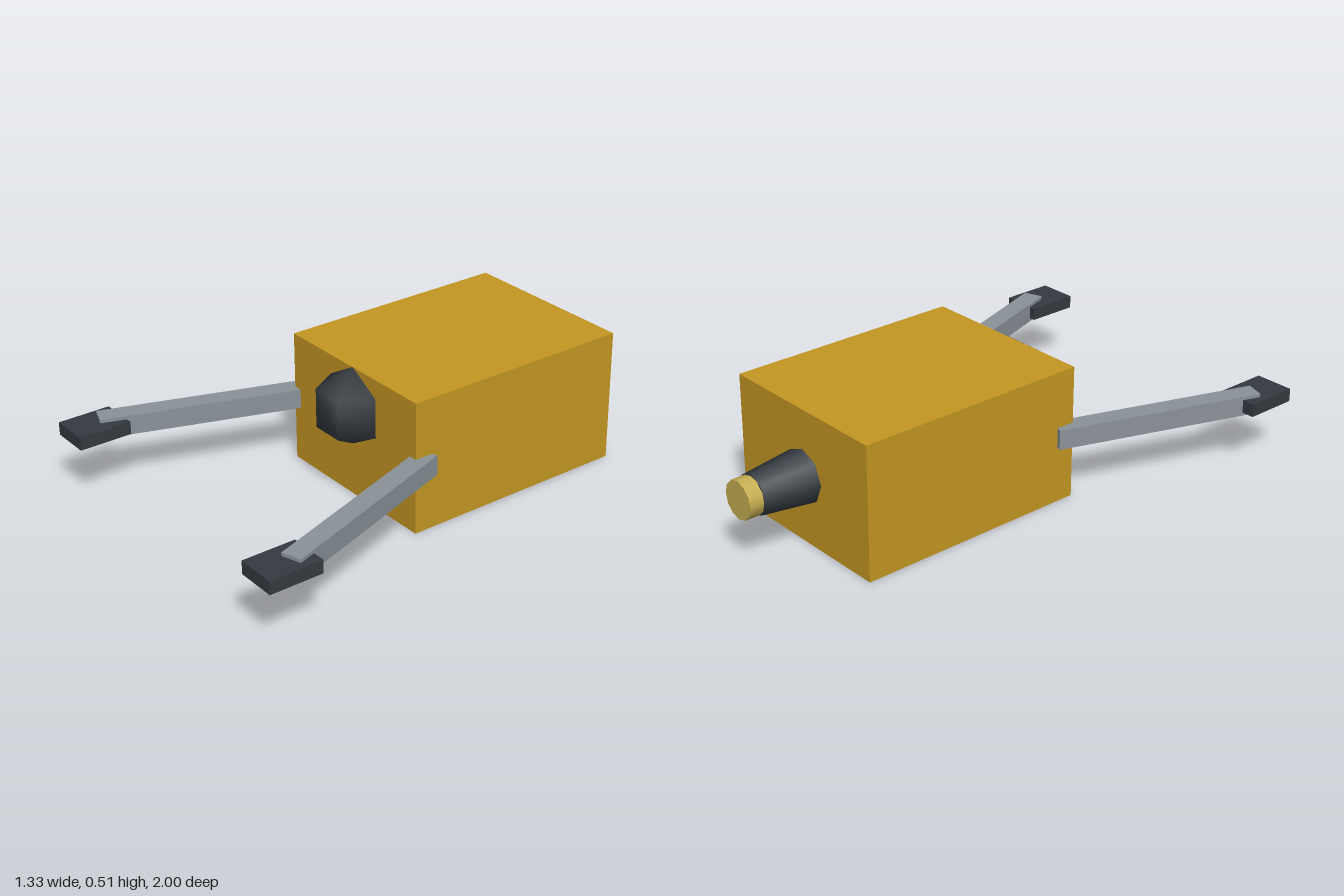
import * as THREE from 'three';

export function createModel() {
  const model = new THREE.Group();
  model.name = 'model';

  const material = (name, color) => {
    const m = new THREE.MeshStandardMaterial({ color });
    m.name = name;
    return m;
  };
  const ochre = material('ochre', 0xc49722);
  const charcoal = material('charcoal', 0x343a40);
  const steel = material('steel grey', 0x8a9299);
  const brass = material('brass', 0xc6ae50);

  const add = (name, geometry, mat, x, y, z) => {
    const mesh = new THREE.Mesh(geometry, mat);
    mesh.name = name;
    mesh.position.set(x, y, z);
    model.add(mesh);
    return mesh;
  };

  // Box-shaped hull
  add('body', new THREE.BoxGeometry(0.714, 0.51, 0.918), ochre, 0, 0.255, -0.276);

  // Coarse dome half sunk into the front
  add('frontDome', new THREE.SphereGeometry(0.152, 6, 3), charcoal, 0, 0.359, 0.183);

  // Tapered thruster and its end cap, pointing backwards
  const thruster = new THREE.CylinderGeometry(0.077, 0.102, 0.21, 8).rotateX(-Math.PI / 2);
  add('thruster', thruster, charcoal, 0, 0.257, -0.84);
  const cap = new THREE.CylinderGeometry(0.072, 0.072, 0.06, 12).rotateX(-Math.PI / 2);
  add('thrusterCap', cap, brass, 0, 0.257, -0.97);

  // Splayed arms with flat grippers
  for (const [side, s] of [['left', 1], ['right', -1]]) {
    const arm = add(side + 'Arm', new THREE.BoxGeometry(0.076, 0.076, 0.803), steel, s * 0.471, 0.256, 0.495);
    arm.rotation.y = s * 0.33;
    add(side + 'Gripper', new THREE.BoxGeometry(0.153, 0.05, 0.204), charcoal, s * 0.587, 0.256, 0.898);
  }

  return model;
}
